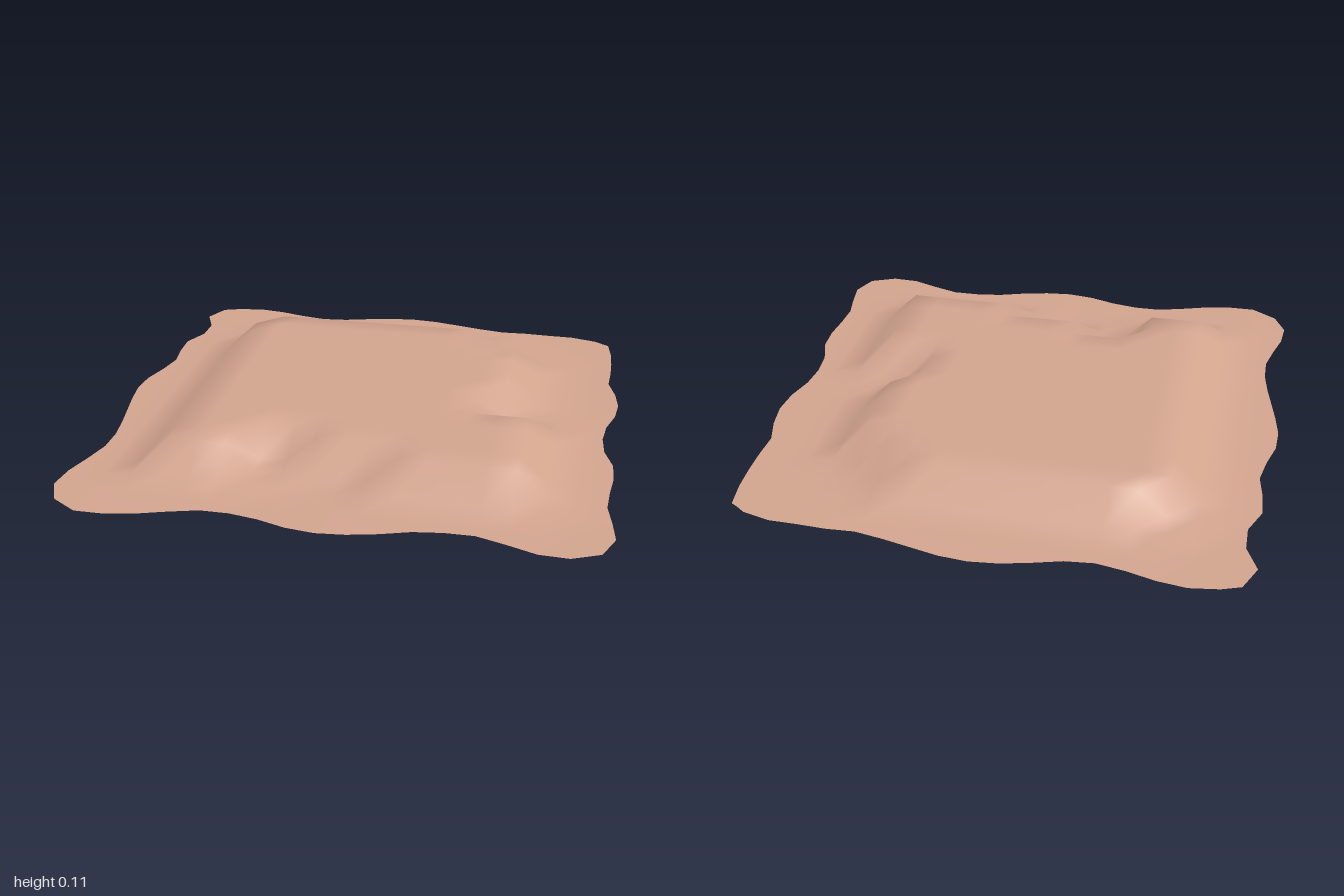
import * as THREE from 'three';

// Grid of 19 x 19 points; the outer ring follows a wavy outline.
const N = 9;
const gridX = i => 0.005 + 0.1045 * i;
const gridZ = j => -0.01 + 0.105 * j;

// Wavy outline, sampled at each inner grid line from -8 to 8
const backZ = [-0.975, -0.99, -0.975, -0.945, -0.925, -0.935, -0.965, -0.99, -1, -0.99, -0.965, -0.94, -0.92, -0.925, -0.92, -0.918, -0.89];
const frontZ = [0.995, 0.995, 0.975, 0.94, 0.91, 0.91, 0.93, 0.965, 0.98, 0.97, 0.945, 0.91, 0.895, 0.895, 0.93, 0.97, 0.975];
const leftX = [-0.945, -0.9, -0.9, -0.945, -0.94, -0.925, -0.945, -0.975, -0.98, -0.965, -0.945, -0.925, -0.91, -0.91, -0.935, -0.965, -0.975];
const rightX = [0.9, 0.915, 0.92, 0.92, 0.915, 0.945, 0.96, 0.95, 0.92, 0.91, 0.92, 0.955, 0.96, 0.95, 0.945, 0.965, 0.98];
const corners = { '-9,-9': [-0.9, -0.95], '9,-9': [0.875, -0.865], '-9,9': [-0.93, 0.93], '9,9': [0.94, 0.93] };

// Which grid points lie on the raised plateau, with its stepped notches
function isRaised(i, j) {
  if (Math.abs(i) > 6 || Math.abs(j) > 6) return false;
  if (j === -6) return i >= -5 && i <= 3;
  if (j === -5) return i <= 4;
  if (j < 0) return i <= 5;
  if (j < 2) return i <= 4;
  if (j === 5) return i <= -4 || i >= -1;
  if (j === 6) return i <= -4 || i >= 2;
  return true;
}

// Plateau, a slight lip around its foot, then flat ground
function heightAt(i, j) {
  if (isRaised(i, j)) return 0.113;
  for (let a = -1; a <= 1; a++)
    for (let b = -1; b <= 1; b++) if (isRaised(i + a, j + b)) return 0.015;
  return 0;
}

function pointAt(i, j) {
  const corner = corners[`${i},${j}`];
  if (corner) return corner;
  let x = gridX(i), z = gridZ(j);
  if (i === -N) x = leftX[j + 8];
  if (i === N) x = rightX[j + 8];
  if (j === -N) z = backZ[i + 8];
  if (j === N) z = frontZ[i + 8];
  return [x, z];
}

export function createModel() {
  const positions = [], index = [], W = 2 * N + 1;
  for (let j = -N; j <= N; j++)
    for (let i = -N; i <= N; i++) {
      const [x, z] = pointAt(i, j);
      positions.push(x, heightAt(i, j), z);
    }
  for (let j = 0; j < W - 1; j++)
    for (let i = 0; i < W - 1; i++) {
      const a = j * W + i, b = a + 1, c = a + W, d = c + 1;
      index.push(a, c, b, b, c, d);
    }

  // Open sheet with smooth shading
  const geometry = new THREE.BufferGeometry();
  geometry.setAttribute('position', new THREE.Float32BufferAttribute(positions, 3));
  geometry.setIndex(index);
  geometry.computeVertexNormals();

  const sheet = new THREE.Mesh(
    geometry,
    new THREE.MeshStandardMaterial({ color: 0xd2a48e, side: THREE.DoubleSide })
  );
  sheet.name = 'raisedGroundPatch';

  const group = new THREE.Group();
  group.name = 'groundPatch';
  group.add(sheet);
  return group;
}
